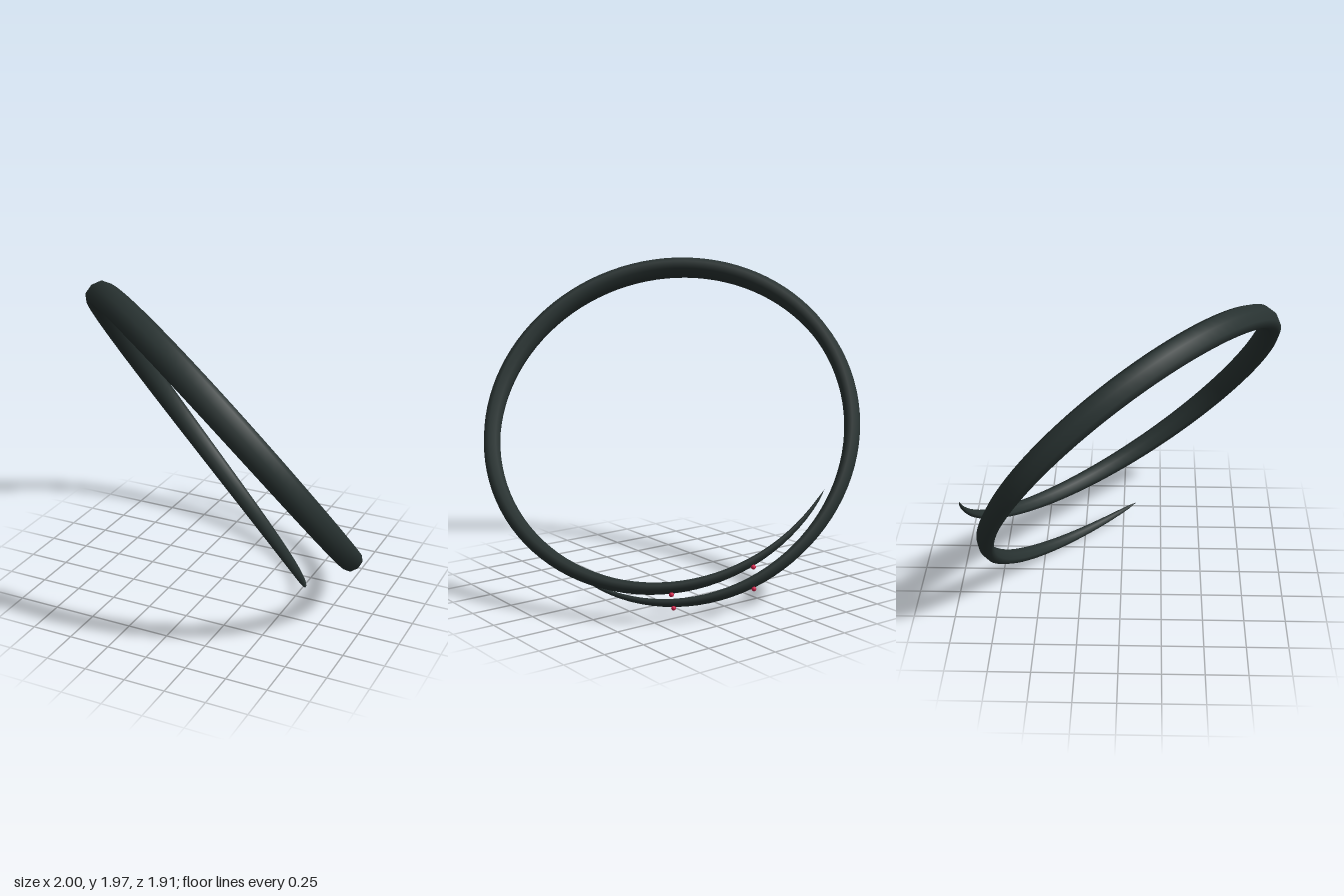
import * as THREE from 'three';

const CENTRE = new THREE.Vector3(0.012, 1.037, 0.017);
const AXIS = new THREE.Vector3(1, 1, -1).normalize();
const E1 = new THREE.Vector3(1, -1, 0).normalize();
const E2 = new THREE.Vector3(1, 1, 2).normalize();

// direction from the coil axis at t along the coil
const angle = (t) => THREE.MathUtils.degToRad(-4 - 449 * t);
const radial = (t, a = 1, b = 1) => new THREE.Vector3()
  .addScaledVector(E1, a * Math.cos(angle(t)))
  .addScaledVector(E2, b * Math.sin(angle(t)));

// slightly oval tilted helix whose tips curl inwards
function coilPoint(t) {
  const nearTip = Math.max(0, 1 - Math.min(t, 1 - t) / 0.15);
  const pull = (t < 0.5 ? 0.045 : 0.015) * nearTip * nearTip;
  return CENTRE.clone()
    .add(radial(t, 1.1 - pull, 1.075 - pull))
    .addScaledVector(AXIS, -0.222 + 0.4 * t);
}

// section swells in the middle and runs out to a point at both ends
const swell = (t) => Math.pow(Math.max(0, Math.sin(Math.PI * t)), 0.55);
const DEPTH = 0.056; // half size towards the coil axis
const WIDTH = 0.083; // half size along the coil axis

// tapered band from oval cross-sections
function bandGeometry(steps = 128, sides = 8) {
  const positions = [];
  const index = [];
  for (let i = 0; i <= steps; i++) {
    const t = i / steps;
    const centre = coilPoint(t);
    const out = radial(t);
    const tangent = coilPoint(t + 0.001).sub(coilPoint(t - 0.001)).normalize();
    const across = tangent.cross(out).normalize();
    for (let j = 0; j < sides; j++) {
      const phi = (j / sides) * Math.PI * 2;
      const p = centre.clone()
        .addScaledVector(out, DEPTH * swell(t) * Math.cos(phi))
        .addScaledVector(across, WIDTH * swell(t) * Math.sin(phi));
      positions.push(p.x, p.y, p.z);
      if (i < steps) {
        const a = i * sides + j;
        const b = i * sides + (j + 1) % sides;
        index.push(a, b, b + sides, a, b + sides, a + sides);
      }
    }
  }
  const geometry = new THREE.BufferGeometry();
  geometry.setAttribute('position', new THREE.Float32BufferAttribute(positions, 3));
  geometry.setIndex(index);
  geometry.computeVertexNormals();
  return geometry;
}

export function createModel() {
  const model = new THREE.Group();
  model.name = 'coiledRing';
  const dark = new THREE.MeshStandardMaterial({ color: 0x283231 });
  dark.name = 'dark slate';
  const red = new THREE.MeshStandardMaterial({ color: 0xd01e48 });
  red.name = 'crimson';

  const band = new THREE.Mesh(bandGeometry(), dark);
  band.name = 'band';
  model.add(band);

  // small studs on the outside near each tip
  const stud = new THREE.SphereGeometry(0.014, 10, 8);
  for (const t of [0.07, 0.125, 0.875, 0.93]) {
    const mesh = new THREE.Mesh(stud, red);
    mesh.name = 'stud';
    mesh.position.copy(coilPoint(t)).addScaledVector(radial(t), DEPTH * swell(t) + 0.007);
    model.add(mesh);
  }
  return model;
}
